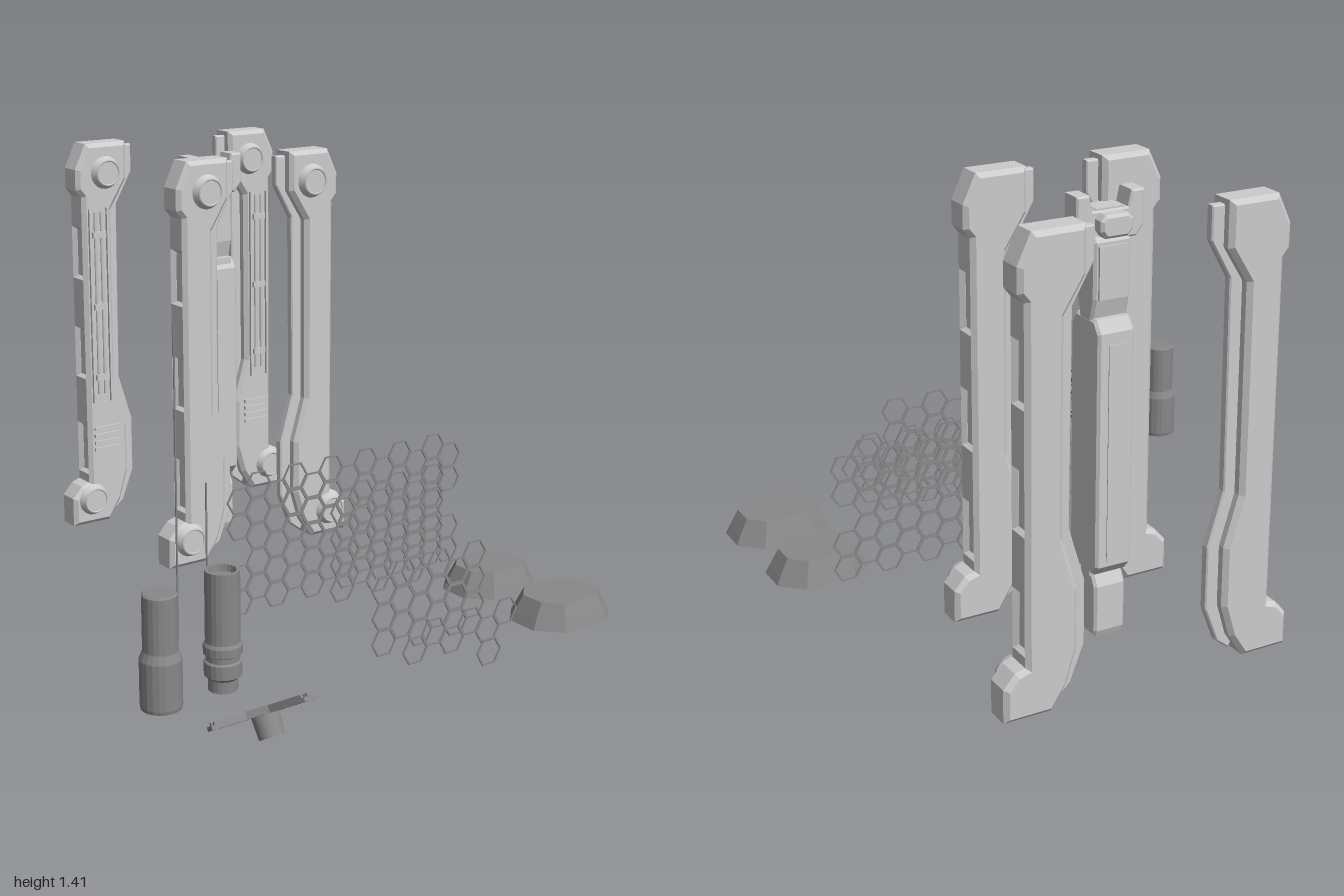
import * as THREE from 'three';
import { mergeGeometries } from 'three/addons/utils/BufferGeometryUtils.js';

const light = new THREE.MeshStandardMaterial({ color: 0xcccccc });
const dark = new THREE.MeshStandardMaterial({ color: 0x888888 });
const darkOpen = new THREE.MeshStandardMaterial({ color: 0x888888, side: THREE.DoubleSide });

function add(parent, name, geometry, material, x = 0, y = 0, z = 0) {
  const mesh = new THREE.Mesh(geometry, material);
  mesh.name = name;
  mesh.position.set(x, y, z);
  parent.add(mesh);
  return mesh;
}

// Extrudes an outline to a plate between z0 and z1, with its bevel inside the outline
function plate(points, z0, z1, bevel = 0) {
  const shape = new THREE.Shape(points.map(([x, y]) => new THREE.Vector2(x, y)));
  const g = new THREE.ExtrudeGeometry(shape, {
    depth: z1 - z0 - 2 * bevel, bevelEnabled: bevel > 0, bevelThickness: bevel,
    bevelSize: bevel, bevelOffset: -bevel, bevelSegments: 1,
  });
  return g.translate(0, 0, z0 + bevel);
}

const disc = (r0, r1, depth) => new THREE.CylinderGeometry(r0, r1, depth, 24).rotateX(Math.PI / 2);

// Pillar: local +x is the outer side
function pillar(name, x, z, side, detailed) {
  const p = new THREE.Group();
  p.name = name;
  const inner = [[-0.085, 1.41], [-0.085, 1.28], [-0.022, 1.18], [-0.02, 0.57], [-0.065, 0.42],
    [-0.065, 0.24], [-0.035, 0.14], [0.01, 0.07]];
  const foot = [[0.155, 0.07], [0.155, 0.17], [0.12, 0.21], [0.09, 0.22]];
  const head = [[0.09, 1.23], [0.11, 1.255], [0.11, 1.325], [0.07, 1.41]];
  const slots = [0.25, 0.595, 0.945].flatMap((y) =>
    [[0.09, y], [0.076, y + 0.01], [0.076, y + 0.17], [0.09, y + 0.18]]);
  const outline = [...inner, ...foot, ...head];
  add(p, 'pillarCore', plate([...inner, ...foot, ...slots, ...head], -0.034, 0.034), light);
  add(p, 'pillarFrontShell', plate(outline, 0.0205, 0.0475, 0.0135), light);
  add(p, 'pillarBackShell', plate(outline, -0.0475, -0.0205, 0.0135), light);
  // thin rail along the inner edge
  add(p, 'innerRail', plate([[-0.122, 1.395], [-0.122, 1.3], [-0.06, 1.19], [-0.055, 0.58],
    [-0.103, 0.42], [-0.103, 0.23], [-0.06, 0.12], [-0.02, 0.09], [0.04, 0.2], [0.02, 1.3], [0, 1.395]],
    -0.014, 0.014, 0.004), light);
  // round caps at head and foot
  for (const [cx, cy] of [[0, 1.31], [0.08, 0.16]]) {
    add(p, 'roundCap', disc(0.046, 0.056, 0.02), light, cx, cy, 0.0575);
    add(p, 'roundCapRim', new THREE.TorusGeometry(0.042, 0.004, 6, 24), light, cx, cy, 0.068);
  }
  if (detailed) {
    // panel edges, conduits and vents on the front
    for (const ex of [0.0, 0.068])
      add(p, 'panelEdge', new THREE.BoxGeometry(0.008, 0.68, 0.012), light, ex, 0.85, 0.051);
    for (const ex of [0.022, 0.046])
      add(p, 'conduit', new THREE.CylinderGeometry(0.006, 0.006, 0.64, 8), light, ex, 0.86, 0.05);
    for (const cy of [0.6, 0.85, 1.1])
      add(p, 'conduitClip', new THREE.BoxGeometry(0.05, 0.02, 0.016), light, 0.034, cy, 0.051);
    for (let i = 0; i < 4; i++)
      add(p, 'ventBar', new THREE.BoxGeometry(0.1, 0.012, 0.012), light, 0.02, 0.34 + i * 0.025, 0.05);
  }
  p.position.set(x, 0, z);
  p.scale.x = side;
  return p;
}

// Centre column: side outlines (z, y) extruded across x
function column() {
  const c = new THREE.Group();
  c.name = 'centreColumn';
  const part = (name, half, w, bevel = 0.008) => {
    const pts = [...half.map(([z, y]) => [z, y]), ...half.slice().reverse().map(([z, y]) => [-z, y])];
    add(c, name, plate(pts, -w / 2, w / 2, bevel).rotateY(-Math.PI / 2), light);
  };
  part('columnNeck', [[0.03, 0.2], [0.03, 1.34]], 0.1);
  part('columnBody', [[0.05, 0.27], [0.075, 0.3], [0.075, 1.0], [0.05, 1.035]], 0.115);
  part('columnFoot', [[0.05, 0.07], [0.058, 0.09], [0.058, 0.23], [0.04, 0.265]], 0.1);
  part('columnHead', [[0.03, 1.02], [0.048, 1.09], [0.048, 1.25], [0.035, 1.265]], 0.115);
  // crossbar with raised ends
  add(c, 'crossbar', plate([[-0.105, 1.28], [-0.08, 1.25], [0.08, 1.25], [0.105, 1.28], [0.105, 1.38],
    [0.065, 1.38], [0.055, 1.335], [-0.055, 1.335], [-0.065, 1.38], [-0.105, 1.38]],
    -0.035, 0.035, 0.005), light);
  for (const s of [-1, 1]) {
    add(c, 'headPlate', new THREE.BoxGeometry(0.09, 0.15, 0.01), light, 0, 1.165, s * 0.05);
    add(c, 'headScreen', plate([[-0.05, 1.285], [-0.035, 1.265], [0.035, 1.265], [0.05, 1.285],
      [0.05, 1.315], [0.035, 1.33], [-0.035, 1.33], [-0.05, 1.315]], -0.035, 0.035, 0.008),
      light, 0, 0, s * 0.038);
    add(c, 'bodyStrip', new THREE.BoxGeometry(0.05, 0.65, 0.006), light, 0, 0.64, s * 0.075);
  }
  add(c, 'latch', new THREE.BoxGeometry(0.08, 0.03, 0.04), light, 0, 1.02, 0.045);
  c.position.set(0.16, 0, -0.647);
  return c;
}

// Flat hexagon mesh; odd columns sit half a row higher
const R = 0.0475, COL = 0.0706, ROW = 0.084;
function hexGrid(x, top, z, cols, rows, keep = () => true) {
  const ring = (r) => Array.from({ length: 6 }, (_, i) =>
    new THREE.Vector2(r * Math.cos(i * Math.PI / 3), r * Math.sin(i * Math.PI / 3)));
  const shape = new THREE.Shape(ring(R));
  shape.holes.push(new THREE.Path(ring(R - 0.006).reverse()));
  const cell = new THREE.ExtrudeGeometry(shape, { depth: 0.004, bevelEnabled: false });
  const cells = [];
  for (let c = 0; c < cols; c++)
    for (let r = 0; r < rows; r++)
      if (keep(c, r))
        cells.push(cell.clone().translate(x + (c - (cols - 1) / 2) * COL,
          top - ROW * (r + (c % 2 || cols === 1 ? 0.5 : 1)), z - 0.002));
  return mergeGeometries(cells);
}

// Hollow base with cut corners, lofted between octagon rings
function base(w, d) {
  const octagon = (hw, hd, cut, y) => [[hw, hd - cut], [hw - cut, hd], [cut - hw, hd], [-hw, hd - cut],
    [-hw, cut - hd], [cut - hw, -hd], [hw - cut, -hd], [hw, cut - hd]].map(([x, z]) => [x, y, z]);
  const rings = [octagon(w / 2 - 0.03, d / 2 - 0.03, 0.05, 0.03), octagon(w / 2 - 0.015, d / 2 - 0.015, 0.065, 0),
    octagon(w / 2, d / 2, 0.07, 0), octagon(w / 2 - 0.012, d / 2 - 0.01, 0.065, 0.025),
    octagon(w / 2 - 0.042, d / 2 - 0.033, 0.05, 0.08)];
  const v = [];
  const tri = (a, b, c) => v.push(...a, ...b, ...c);
  for (let k = 0; k < rings.length - 1; k++)
    for (let i = 0; i < 8; i++) {
      const j = (i + 1) % 8, lo = rings[k], hi = rings[k + 1];
      tri(lo[i], hi[i], hi[j]);
      tri(lo[i], hi[j], lo[j]);
    }
  for (let i = 0; i < 8; i++) {
    const j = (i + 1) % 8;
    tri([0, 0.08, 0], rings[4][j], rings[4][i]);
    tri([0, 0.03, 0], rings[0][i], rings[0][j]);
  }
  const g = new THREE.BufferGeometry();
  g.setAttribute('position', new THREE.Float32BufferAttribute(v, 3));
  g.computeVertexNormals();
  return g;
}

const lathe = (pts) => new THREE.LatheGeometry(pts.map(([r, y]) => new THREE.Vector2(r, y)), 20).toNonIndexed();
function canister(pts) {
  const g = lathe(pts);
  g.computeVertexNormals();
  return g;
}

// Tilted rotor with six ridged arms and a hub underneath
function rotor() {
  const f = new THREE.Group();
  f.name = 'rotor';
  add(f, 'hub', new THREE.CylinderGeometry(0.04, 0.036, 0.075, 16), dark, 0, -0.03, 0);
  for (let i = 0; i < 6; i++) {
    const arm = new THREE.Group();
    arm.name = 'rotorArm';
    add(arm, 'armPlate', new THREE.BoxGeometry(0.13, 0.012, 0.04), dark, 0.093, 0, 0);
    for (const s of [-1, 1])
      add(arm, 'armRidge', new THREE.BoxGeometry(0.12, 0.014, 0.01), dark, 0.088, 0.008, s * 0.014);
    arm.rotation.y = -(12 + i * 60) * Math.PI / 180;
    f.add(arm);
  }
  f.position.set(-0.672, 0.14, 0.855);
  f.rotation.x = -Math.PI / 6;
  return f;
}

export function createModel() {
  const model = new THREE.Group();
  model.name = 'partsKit';
  model.add(
    pillar('frontRightPillar', -0.05, -0.39, -1, false),
    pillar('frontLeftPillar', 0.363, -0.39, 1, false),
    pillar('backRightPillar', -0.095, -0.95, -1, true),
    pillar('backLeftPillar', 0.5, -0.95, 1, true),
    column(), rotor());

  // hexagon meshes
  const notch = (c, r) => !((c === 0 || c === 12) && r === 2);
  add(model, 'wideHexMesh', hexGrid(0.23, 0.495, 0.04, 13, 5, notch), dark);
  add(model, 'hexMeshA', hexGrid(0.188, 0.495, 0.297, 6, 4), dark);
  add(model, 'hexMeshB', hexGrid(0.191, 0.3, 0.5, 6, 3), dark);
  add(model, 'hexMeshC', hexGrid(0.188, 0.16, 0.65, 6, 1), dark);
  add(model, 'singleHex', hexGrid(0.188, 0.115, 0.775, 1, 1), dark);

  // hollow bases
  add(model, 'smallBase', base(0.31, 0.245), darkOpen, 0.685, 0, 0.222);
  add(model, 'largeBase', base(0.325, 0.25), darkOpen, 0.688, 0, 0.555);

  // canisters
  add(model, 'steppedCanister', canister([[0, 0.065], [0.058, 0.065], [0.06, 0.075], [0.06, 0.21], [0.05, 0.235],
    [0.05, 0.395], [0.045, 0.4], [0, 0.4]]), darkOpen, -0.79, 0, 0.53);
  add(model, 'ringedCanister', canister([[0, 0.065], [0.043, 0.065], [0.043, 0.1], [0.054, 0.11], [0.054, 0.15],
    [0.048, 0.155], [0.048, 0.17], [0.056, 0.175], [0.056, 0.2], [0.05, 0.21], [0.05, 0.42], [0.04, 0.42],
    [0.038, 0.4], [0, 0.4]]), darkOpen, -0.583, 0, 0.525);

  // thin rods
  add(model, 'longRod', new THREE.CylinderGeometry(0.003, 0.003, 0.96, 8), dark, -0.5, 0.55, 0.16);
  add(model, 'shortRod', new THREE.CylinderGeometry(0.003, 0.003, 0.475, 8), dark, -0.395, 0.3025, 0.16);
  return model;
}
